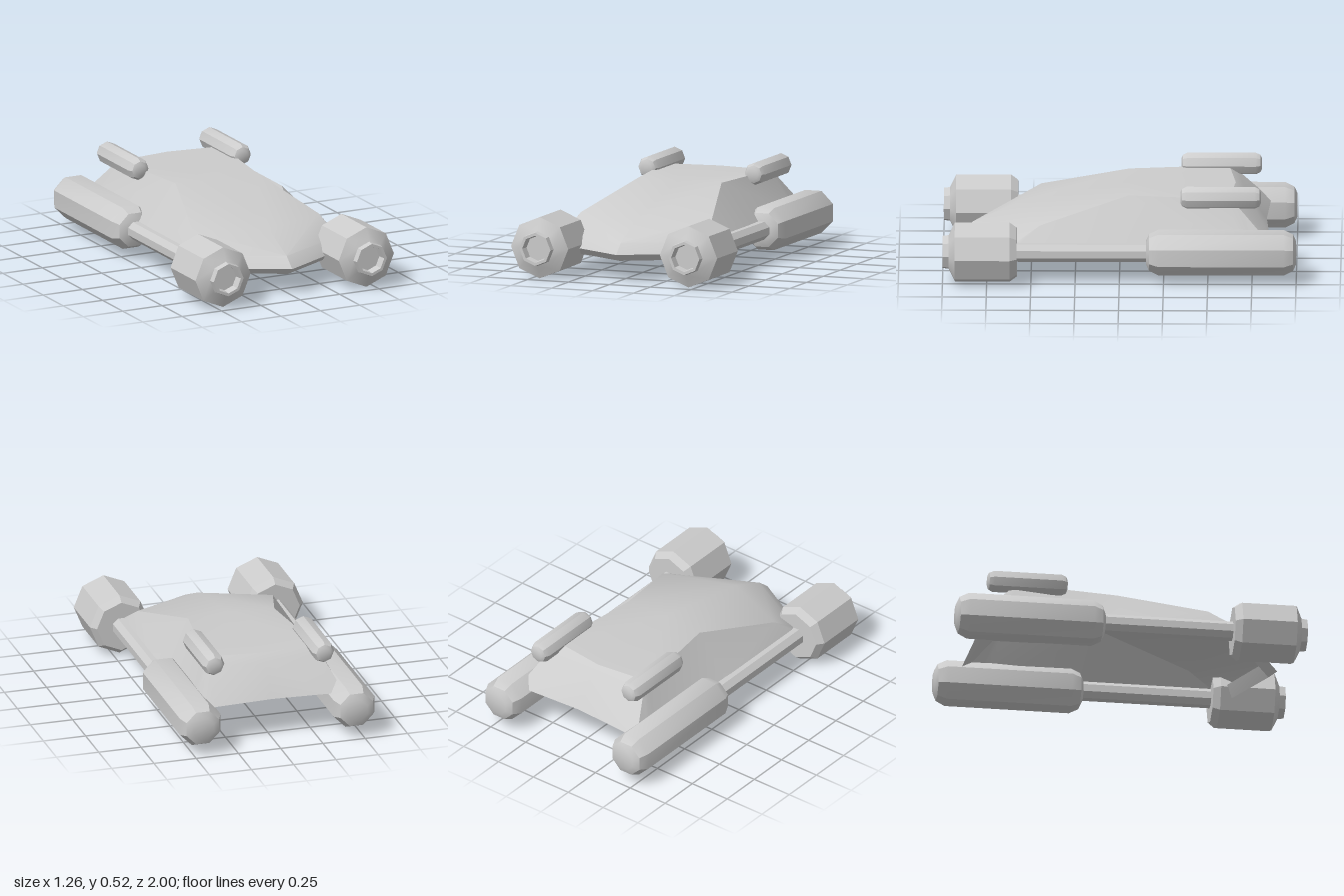
import * as THREE from 'three';
import { toCreasedNormals } from 'three/addons/utils/BufferGeometryUtils.js';

const grey = new THREE.MeshStandardMaterial({ color: 0xcccccc, side: THREE.DoubleSide });

// Eight-sided turned part lying along z; profile is [radius, z] from back to front
function turned(name, profile, x, y, flatTop) {
  const points = profile.map(([r, z]) => new THREE.Vector2(r, z));
  const geometry = new THREE.LatheGeometry(points, 8, flatTop ? Math.PI / 8 : 0);
  geometry.rotateX(Math.PI / 2);
  const mesh = new THREE.Mesh(toCreasedNormals(geometry, 0.6), grey);
  mesh.name = name;
  mesh.position.set(x, y, 0);
  return mesh;
}

// Closed capsule-like profile with two-step rounded ends
function capsule(r, back, front, bevel) {
  const end = [[0, 0], [r * 0.5, 0], [r * 0.8, bevel * 0.25], [r, bevel]];
  return [
    ...end.map(([q, d]) => [q, back + d]),
    ...end.map(([q, d]) => [q, front - d]).reverse(),
  ];
}

// Shell lofted through rows of [centre, shoulder, side], mirrored across x
function hull() {
  const rows = [
    [[0, 0.19, 0.80], [0.42, 0.19, 0.58], [0.43, 0.19, 0.57]], // inner nose lip
    [[0, 0.12, 0.85], [0.44, 0.12, 0.61], [0.45, 0.12, 0.60]], // nose underside
    [[0, 0.16, 0.90], [0.44, 0.16, 0.66], [0.45, 0.16, 0.65]], // nose tip
    [[0, 0.22, 0.83], [0.44, 0.22, 0.60], [0.45, 0.22, 0.59]], // nose top
    [[0, 0.32, 0.61], [0.40, 0.32, 0.45], [0.45, 0.22, 0.57]], // front ridge
    [[0, 0.455, -0.03], [0.255, 0.455, -0.05], [0.45, 0.22, -0.05]], // roof start
    [[0, 0.455, -0.655], [0.325, 0.455, -0.615], [0.435, 0.22, -0.69]], // roof end
    [[0, 0.41, -0.708], [0.335, 0.42, -0.665], [0.435, 0.22, -0.75]], // rear bevel
    [[0, 0.24, -0.83], [0.335, 0.24, -0.85], [0.43, 0.22, -0.855]], // rear lip
  ];
  const flip = ([x, y, z]) => [-x, y, z];
  const vertices = rows.flatMap(([c, s, e]) => [flip(e), flip(s), c, s, e]).flat();
  const index = [];
  for (let i = 0; i < rows.length - 1; i++) {
    for (let j = 0; j < 4; j++) {
      const a = i * 5 + j, b = a + 1, c = a + 5, d = a + 6;
      // mirrored diagonals keep both halves alike
      if (j < 2) index.push(a, b, c, b, d, c);
      else index.push(a, b, d, a, d, c);
    }
  }
  const geometry = new THREE.BufferGeometry();
  geometry.setAttribute('position', new THREE.Float32BufferAttribute(vertices, 3));
  geometry.setIndex(index);
  const mesh = new THREE.Mesh(toCreasedNormals(geometry, 0.45), grey);
  mesh.name = 'hull';
  return mesh;
}

export function createModel() {
  const model = new THREE.Group();
  model.name = 'hoverCraft';
  model.add(hull());

  // Front pod with bevelled ends and a recessed nozzle
  const frontPod = [
    [0, 0.58], [0.145, 0.58], [0.175, 0.62], [0.175, 0.93], [0.1, 0.965],
    [0.095, 1], [0.078, 1], [0.072, 0.95], [0, 0.95],
  ];
  for (const side of [1, -1]) {
    const label = side > 0 ? 'left' : 'right';
    model.add(
      turned(label + 'FrontPod', frontPod, side * 0.455, 0.18, false),
      turned(label + 'RearPod', capsule(0.13, -1, -0.15, 0.07), side * 0.455, 0.18, true),
      turned(label + 'SideRod', [[0, -0.2], [0.055, -0.2], [0.055, 0.62], [0, 0.62]], side * 0.455, 0.18, true),
      turned(label + 'RoofPod', capsule(0.064, -0.8, -0.345, 0.035), side * 0.325, 0.465, false),
    );
  }
  return model;
}
